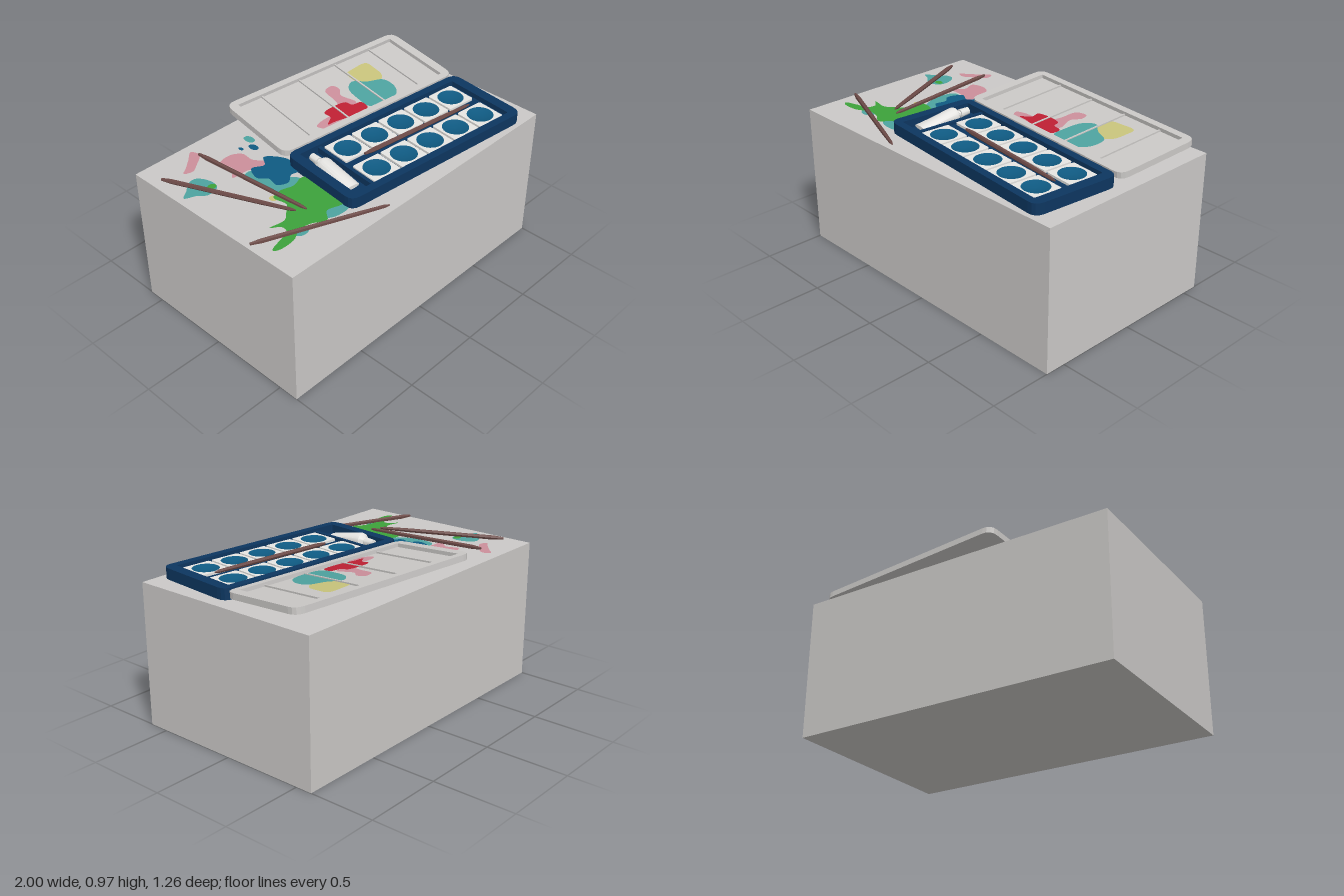
import * as THREE from 'three';
import { toCreasedNormals } from 'three/addons/utils/BufferGeometryUtils.js';

const mat = (name, color, side = THREE.FrontSide) => {
  const m = new THREE.MeshStandardMaterial({ color, side });
  m.name = name;
  return m;
};

const YAW = 0.1;      // shared turn of the paint box and its lid
const TOP = 0.86;     // height of the table top

export function createModel() {
  const grey = mat('pale grey', 0xcbc9c7);
  const white = mat('white', 0xe6e5e2);
  const navy = mat('navy', 0x0d3660);
  const blue = mat('paint blue', 0x0f5a82, THREE.DoubleSide);
  const brown = mat('brush brown', 0x6c4a47);
  const green = mat('green', 0x3da23b, THREE.DoubleSide);
  const teal = mat('teal', 0x4ea3a0, THREE.DoubleSide);
  const pink = mat('pink', 0xcc8f9b, THREE.DoubleSide);
  const red = mat('red', 0xbe2033, THREE.DoubleSide);
  const yellow = mat('yellow', 0xc9c47c, THREE.DoubleSide);

  const model = new THREE.Group();
  model.name = 'paintingTable';

  function add(parent, name, geometry, material, x = 0, y = 0, z = 0) {
    const mesh = new THREE.Mesh(geometry, material);
    mesh.name = name;
    mesh.position.set(x, y, z);
    parent.add(mesh);
    return mesh;
  }
  const box = (w, h, d) => new THREE.BoxGeometry(w, h, d);

  // Rounded rectangle, optionally off-centre along x
  function roundRect(P, w, d, r, cx = 0) {
    const s = new P(), x0 = cx - w / 2, x1 = cx + w / 2, y = d / 2;
    s.moveTo(x0 + r, -y);
    s.lineTo(x1 - r, -y); s.quadraticCurveTo(x1, -y, x1, -y + r);
    s.lineTo(x1, y - r); s.quadraticCurveTo(x1, y, x1 - r, y);
    s.lineTo(x0 + r, y); s.quadraticCurveTo(x0, y, x0, y - r);
    s.lineTo(x0, -y + r); s.quadraticCurveTo(x0, -y, x0 + r, -y);
    return s;
  }
  const slab = (shape, depth, curveSegments = 4) =>
    new THREE.ExtrudeGeometry(shape, { depth, curveSegments, bevelEnabled: false }).rotateX(-Math.PI / 2);

  // Flat paint blot through a few outline points given as x, z pairs
  function blot(parent, name, material, y, xz) {
    const pts = [];
    for (let i = 0; i < xz.length; i += 2) pts.push(new THREE.Vector2(xz[i], -xz[i + 1]));
    const shape = new THREE.Shape();
    shape.moveTo(pts[0].x, pts[0].y);
    const curve = new THREE.CatmullRomCurve3(pts.map(p => new THREE.Vector3(p.x, p.y, 0)), true);
    curve.getPoints(pts.length * 5).slice(1, -1).forEach(p => shape.lineTo(p.x, p.y));
    return add(parent, name, new THREE.ShapeGeometry(shape).rotateX(-Math.PI / 2), material, 0, y, 0);
  }
  const oval = (x, z, rx, rz) =>
    [0, 1, 2, 3, 4, 5].flatMap(i => [x + rx * Math.cos(i * Math.PI / 3), z + rz * Math.sin(i * Math.PI / 3)]);

  // Table block
  add(model, 'table', box(2, TOP, 1.225), grey, 0, TOP / 2, 0.0125);

  // Paint spilled on the table
  const spills = new THREE.Group();
  spills.name = 'tableSpills';
  model.add(spills);
  const y1 = TOP + 0.002, y2 = TOP + 0.004, y3 = TOP + 0.006;
  blot(spills, 'tealSpill', teal, y1, [-.60, -.16, -.55, -.17, -.50, -.05, -.40, .08, -.42, .15, -.57, .08, -.62, -.06]);
  blot(spills, 'tealSpill', teal, y1, oval(-.46, .40, .11, .05));
  blot(spills, 'tealSpill', teal, y1, oval(-.72, .40, .05, .035));
  blot(spills, 'tealSpill', teal, y1, [-.96, -.24, -.91, -.28, -.85, -.33, -.80, -.33, -.76, -.26, -.77, -.19, -.85, -.17, -.90, -.21]);
  blot(spills, 'tealSpill', teal, y1, oval(-.345, -.40, .025, .04));
  blot(spills, 'pinkSpill', pink, y2, [-.66, -.54, -.64, -.49, -.72, -.42, -.77, -.39, -.82, -.41, -.78, -.44, -.72, -.49]);
  blot(spills, 'pinkSpill', pink, y2, [-.62, -.34, -.53, -.36, -.47, -.32, -.47, -.24, -.43, -.17, -.49, -.13, -.55, -.18, -.66, -.19, -.60, -.26]);
  blot(spills, 'blueSpill', blue, y3, [-.53, -.18, -.46, -.15, -.41, -.21, -.33, -.10, -.36, .03, -.42, .02, -.48, .06, -.54, .03, -.53, -.04, -.57, -.09]);
  blot(spills, 'blueSpill', blue, y3, oval(-.385, -.32, .022, .035));
  blot(spills, 'blueSpill', blue, y3, oval(-.445, -.36, .012, .018));
  blot(spills, 'yellowSpill', yellow, y1, oval(-.63, .10, .022, .025));
  blot(spills, 'greenSpill', green, y3, oval(-.79, -.21, .028, .022));
  blot(spills, 'greenSpill', green, y3, [-.63, .10, -.56, .08, -.48, .10, -.39, .08, -.34, .19, -.37, .32, -.41, .40,
    -.51, .38, -.57, .44, -.64, .40, -.72, .39, -.80, .43, -.91, .43, -.93, .41, -.85, .38, -.78, .36,
    -.77, .31, -.82, .27, -.72, .28, -.67, .24, -.62, .19]);

  // Paint box: frame, floor, divider
  const tray = new THREE.Group();
  tray.name = 'paintBox';
  tray.position.set(0.255, TOP, 0.263);
  tray.rotation.y = -YAW;
  model.add(tray);
  const frame = roundRect(THREE.Shape, 1.3, 0.55, 0.06);
  frame.holes.push(roundRect(THREE.Path, 1.175, 0.455, 0.01, -0.003));
  add(tray, 'boxFrame', slab(frame, 0.066), navy);
  add(tray, 'boxFloor', box(1.18, 0.012, 0.46), navy, 0, 0.008, 0);
  add(tray, 'boxDivider', box(0.022, 0.045, 0.455), navy, -0.452, 0.03, 0);
  add(tray, 'panInsert', box(1.03, 0.022, 0.455), navy, 0.075, 0.025, 0);

  // Ten square pans, each with a shallow bowl of paint
  const pan = roundRect(THREE.Shape, 0.187, 0.187, 0.012);
  const hole = new THREE.Path();
  hole.absarc(0, 0, 0.078, 0, Math.PI * 2, true);
  pan.holes.push(hole);
  const panGeo = slab(pan, 0.032, 12);
  const bowl = [0, 1, 2, 3, 4].map(i => new THREE.Vector2(0.0195 * i, -0.014 + 0.013 * (i / 4) ** 2));
  const bowlGeo = new THREE.LatheGeometry(bowl, 24);
  for (let i = 0; i < 5; i++) {
    for (const z of [-0.121, 0.121]) {
      const x = 0.065 + (i - 2) * 0.2015;
      add(tray, 'pan', panGeo, white, x, 0.018, z);
      add(tray, 'panPaint', bowlGeo, blue, x, 0.05, z);
    }
  }

  // Paint tube: round at the neck, pressed flat at the other end
  const profile = [[0, 0], [.048, 0], [.05, .23], [.045, .25], [.018, .268], [.018, .28], [.026, .28], [.021, .34], [0, .34]];
  const tube = new THREE.LatheGeometry(profile.map(p => new THREE.Vector2(...p)), 18);
  const tp = tube.attributes.position;
  for (let i = 0; i < tp.count; i++) {
    tp.setZ(i, tp.getZ(i) * Math.min(1, 0.25 + 0.75 * tp.getY(i) / 0.23));
  }
  tube.rotateX(-Math.PI / 2);
  add(tray, 'paintTube', toCreasedNormals(tube, 0.6), white, -0.536, 0.027, 0.15).rotation.x = 0.055;

  // Open lid, lying tilted on the back of the box
  const lid = new THREE.Group();
  lid.name = 'lid';
  lid.position.set(0.315, 0.911, -0.302);
  lid.rotation.set(0.088, -YAW, 0, 'YXZ');
  model.add(lid);
  const rim = roundRect(THREE.Shape, 1.3, 0.55, 0.06);
  rim.holes.push(roundRect(THREE.Path, 1.185, 0.465, 0.005));
  add(lid, 'lidRim', slab(rim, 0.037), grey);
  add(lid, 'lidPanel', box(1.19, 0.014, 0.47), grey, 0, 0.0075, 0);
  for (const x of [-0.42, -0.14, 0.14, 0.42]) {
    add(lid, 'lidRib', box(0.01, 0.01, 0.465), grey, x, 0.019, 0);
  }

  // Mixed paint on the lid, outlined in table coordinates
  const turn = new THREE.Group();
  turn.name = 'lidPaint';
  turn.rotation.y = YAW;
  lid.add(turn);
  const mixes = new THREE.Group();
  mixes.name = 'lidMixes';
  mixes.position.set(-0.315, 0.0165, 0.302);
  turn.add(mixes);
  blot(mixes, 'yellowMix', yellow, 0, [.47, -.41, .54, -.42, .64, -.41, .64, -.34, .62, -.26, .55, -.22, .47, -.25, .45, -.33]);
  blot(mixes, 'tealMix', teal, 0.002, [.36, -.29, .43, -.33, .50, -.27, .59, -.22, .59, -.13, .54, -.07, .43, -.06, .33, -.09, .33, -.18]);
  blot(mixes, 'pinkMix', pink, 0.001, [.24, -.37, .31, -.38, .32, -.33, .28, -.28, .30, -.17, .20, -.18, .22, -.28]);
  blot(mixes, 'pinkMix', pink, 0.001, [-.04, -.16, .03, -.18, .14, -.16, .12, -.10, 0, -.10]);
  blot(mixes, 'redMix', red, 0.003, [.02, -.13, .08, -.17, .08, -.22, .16, -.23, .25, -.21, .26, -.17, .32, -.15, .31, -.09, .19, -.09, .08, -.12]);

  // Brushes: six-sided handles with tapered ends, laid between two points
  const brushes = [
    [-.94, .872, -.45, -.63, .874, .27],
    [-.655, .881, -.475, -.58, .872, .30],
    [-.98, .874, .30, -.255, .872, .59],
    [-.05, .915, .222, .74, .915, .323],
  ];
  for (const [ax, ay, az, bx, by, bz] of brushes) {
    const a = new THREE.Vector3(ax, ay, az), dir = new THREE.Vector3(bx, by, bz).sub(a);
    const L = dir.length();
    const outline = [[0, 0], [.008, 0], [.014, .06], [.013, L * .75], [.010, L - .03], [.004, L], [0, L]];
    const geo = new THREE.LatheGeometry(outline.map(p => new THREE.Vector2(...p)), 6);
    const brush = add(model, 'brush', toCreasedNormals(geo, 0.5), brown, ax, ay, az);
    brush.quaternion.setFromUnitVectors(new THREE.Vector3(0, 1, 0), dir.normalize());
  }

  return model;
}
